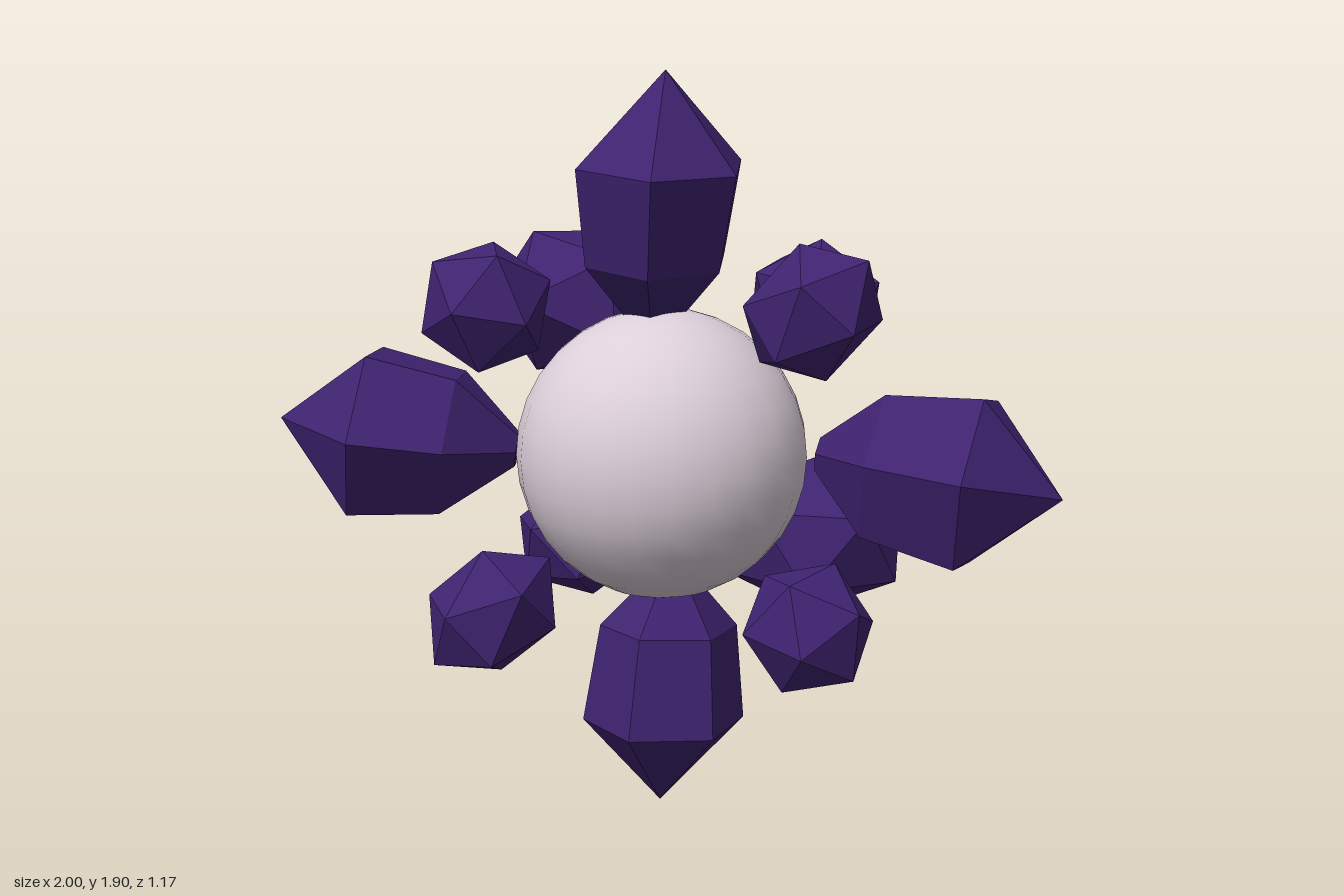
import * as THREE from 'three';

const crystalPurple = new THREE.MeshStandardMaterial({ color: 0x3f2370, flatShading: true });
const paleOrb = new THREE.MeshStandardMaterial({ color: 0xdccfda });
crystalPurple.name = 'crystalPurple';
paleOrb.name = 'paleOrb';

const CENTER = new THREE.Vector3(0, 0.945, 0.21);
const UP = new THREE.Vector3(0, 1, 0);
const deg = THREE.MathUtils.degToRad;

// Six-sided crystal: pointed tip, shoulder ring, tapered body, small flat root at the orb.
// "at" is the shoulder ring's centre, "turn" aims the tip, in degrees about x, y, z.
function largeCrystal({ name, at, turn, wide, deep, tip, body, root, twist }) {
  const profile = [[0.001, -root], [0.2, -root], [0.85, -body], [1, 0], [0.001, tip]]
    .map(([r, y]) => new THREE.Vector2(r, y));
  const geometry = new THREE.LatheGeometry(profile, 6, deg(twist));
  geometry.scale(wide, 1, deep);
  const mesh = new THREE.Mesh(geometry, crystalPurple);
  mesh.name = name;
  mesh.position.set(...at);
  mesh.rotation.set(...turn.map(deg));
  return mesh;
}

// Twenty-sided crystal with one corner turned straight away from the orb.
// "stretch" lengthens it outward, "spread" then scales it along x, y, z.
function roundCrystal({ name, at, radius, stretch = 1, spread = [1, 1, 1], twist }) {
  const position = new THREE.Vector3(...at);
  const outward = position.clone().sub(CENTER).normalize();
  const corner = new THREE.Vector3(-1, (1 + Math.sqrt(5)) / 2, 0).normalize();
  const geometry = new THREE.IcosahedronGeometry(radius, 0);
  geometry.applyQuaternion(new THREE.Quaternion().setFromUnitVectors(corner, UP));
  geometry.rotateY(deg(twist));
  geometry.scale(1, stretch, 1);
  geometry.applyQuaternion(new THREE.Quaternion().setFromUnitVectors(UP, outward));
  geometry.scale(...spread);
  const mesh = new THREE.Mesh(geometry, crystalPurple);
  mesh.name = name;
  mesh.position.copy(position);
  return mesh;
}

export function createModel() {
  const model = new THREE.Group();
  model.name = 'crystalOrb';

  // Smooth central orb
  const orb = new THREE.Mesh(new THREE.SphereGeometry(0.37, 24, 16), paleOrb);
  orb.name = 'orb';
  orb.position.copy(CENTER);
  model.add(orb);

  // Four large, slightly tilted crystals in a cross
  const large = [
    { name: 'topCrystal', at: [0, 1.67, 0.215], turn: [6, 0, -4], wide: 0.22, deep: 0.31, tip: 0.23, body: 0.24, root: 0.42, twist: 9 },
    { name: 'bottomCrystal', at: [-0.005, 0.22, 0.16], turn: [-6, 0, 178], wide: 0.21, deep: 0.285, tip: 0.22, body: 0.25, root: 0.4, twist: 10 },
    { name: 'leftCrystal', at: [0.79, 0.9, 0.235], turn: [0, -9, -97], wide: 0.24, deep: 0.25, tip: 0.212, body: 0.24, root: 0.4, twist: -10 },
    { name: 'rightCrystal', at: [-0.785, 0.985, 0.235], turn: [0, 11, 82], wide: 0.235, deep: 0.29, tip: 0.22, body: 0.23, root: 0.4, twist: 3 },
  ];
  for (const spec of large) model.add(largeCrystal(spec));

  // Small front crystals and mixed rear crystals on the diagonals
  for (const side of [1, -1]) {
    for (const level of [1, -1]) {
      const label = (level > 0 ? 'Upper' : 'Lower') + (side > 0 ? 'Left' : 'Right');
      const slim = side === level;
      model.add(roundCrystal({
        name: 'front' + label + 'Crystal',
        at: [side * 0.4, 0.945 + level * 0.385, 0.4],
        radius: slim ? 0.158 : 0.17, stretch: slim ? 1.25 : 1, twist: 20 * side,
      }));
      model.add(roundCrystal(slim
        ? { name: 'rear' + label + 'Crystal', at: [side * 0.335, 0.945 + level * 0.35, -0.255], radius: 0.19, spread: [1.03, 0.9, 0.98], twist: 30 * level }
        : { name: 'rear' + label + 'Crystal', at: [side * 0.33, 0.945 + level * 0.33, -0.34], radius: 0.26, spread: [1.1, 0.88, 1.08], twist: 30 * level + 20 }));
    }
  }
  return model;
}
